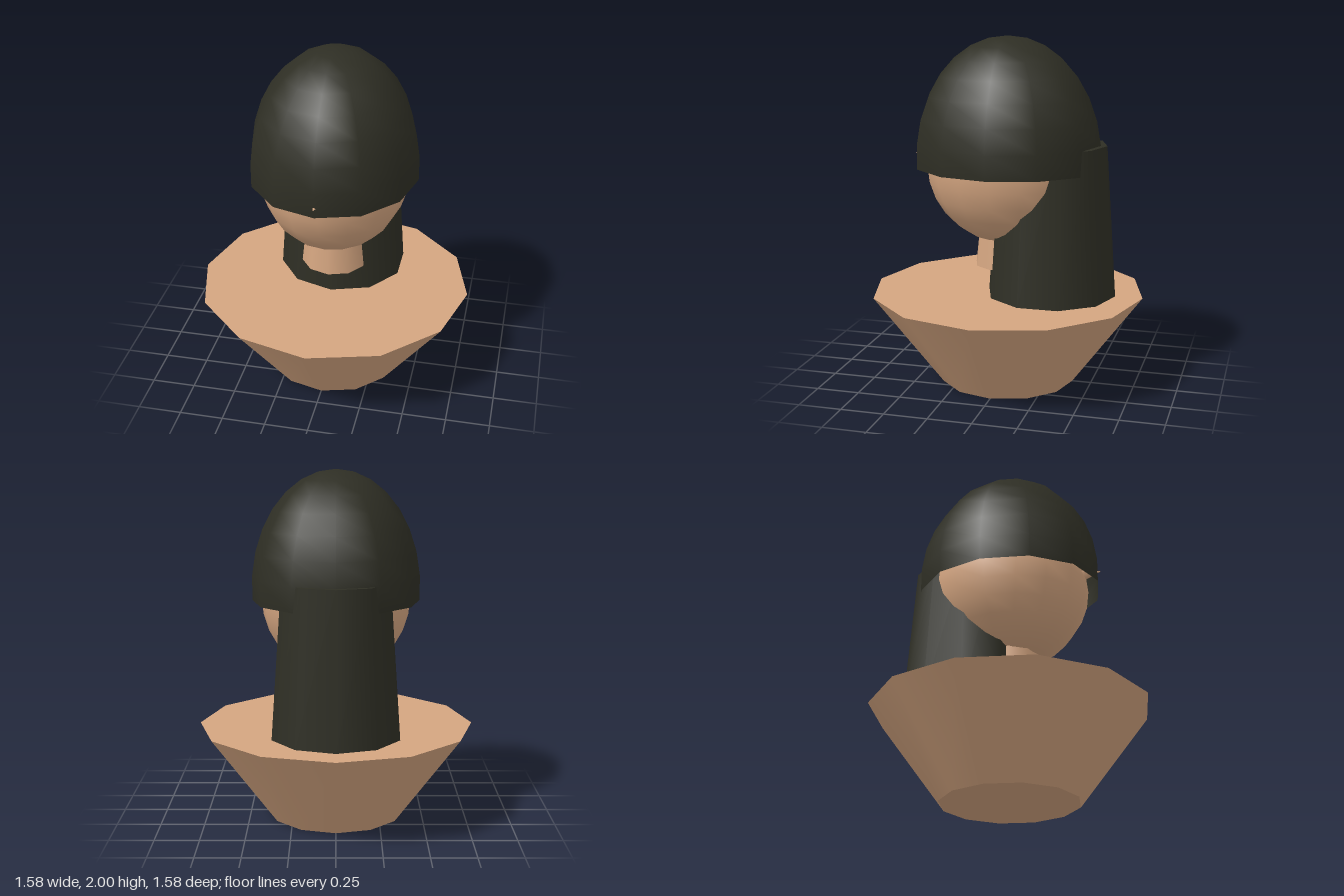
import * as THREE from 'three';

export function createModel() {
  const model = new THREE.Group();
  const skin = new THREE.MeshStandardMaterial({ color: 0xd4a580 });
  skin.name = 'skin';
  const hair = new THREE.MeshStandardMaterial({ color: 0x2e2e24, side: THREE.DoubleSide });
  hair.name = 'dark hair';

  const add = (name, geometry, material, x, y, z) => {
    const mesh = new THREE.Mesh(geometry, material);
    mesh.name = name;
    mesh.position.set(x, y, z);
    model.add(mesh);
    return mesh;
  };
  // Tapered column standing between two heights
  const column = (name, material, rTop, rBottom, y0, y1, z, sides) =>
    add(name, new THREE.CylinderGeometry(rTop, rBottom, y1 - y0, sides), material, 0, (y0 + y1) / 2, z);

  // Shoulders flare upward from a narrow waist
  column('shoulders', skin, 0.79, 0.39, 0, 0.535, 0, 12);

  // Neck stub under the chin
  column('neck', skin, 0.162, 0.19, 0.69, 0.95, 0, 10);

  // Head
  add('head', new THREE.SphereGeometry(1, 16, 14), skin, 0, 1.28, 0).scale.set(0.425, 0.46, 0.465);

  // Nose, with only its tip showing through the fringe
  const nose = new THREE.ConeGeometry(0.05, 0.125, 4);
  nose.rotateX(Math.PI / 2);
  add('nose', nose, skin, 0, 1.315, 0.4925);

  // Hair cap, open underneath, and the long hair down the back
  const cap = new THREE.SphereGeometry(1, 12, 8, 0, Math.PI * 2, 0, Math.PI * 96 / 180);
  add('hairCap', cap, hair, 0, 1.33, 0).scale.set(0.48, 0.67, 0.538);
  column('backHair', hair, 0.312, 0.373, 0.535, 1.4, -0.26, 10);

  return model;
}
